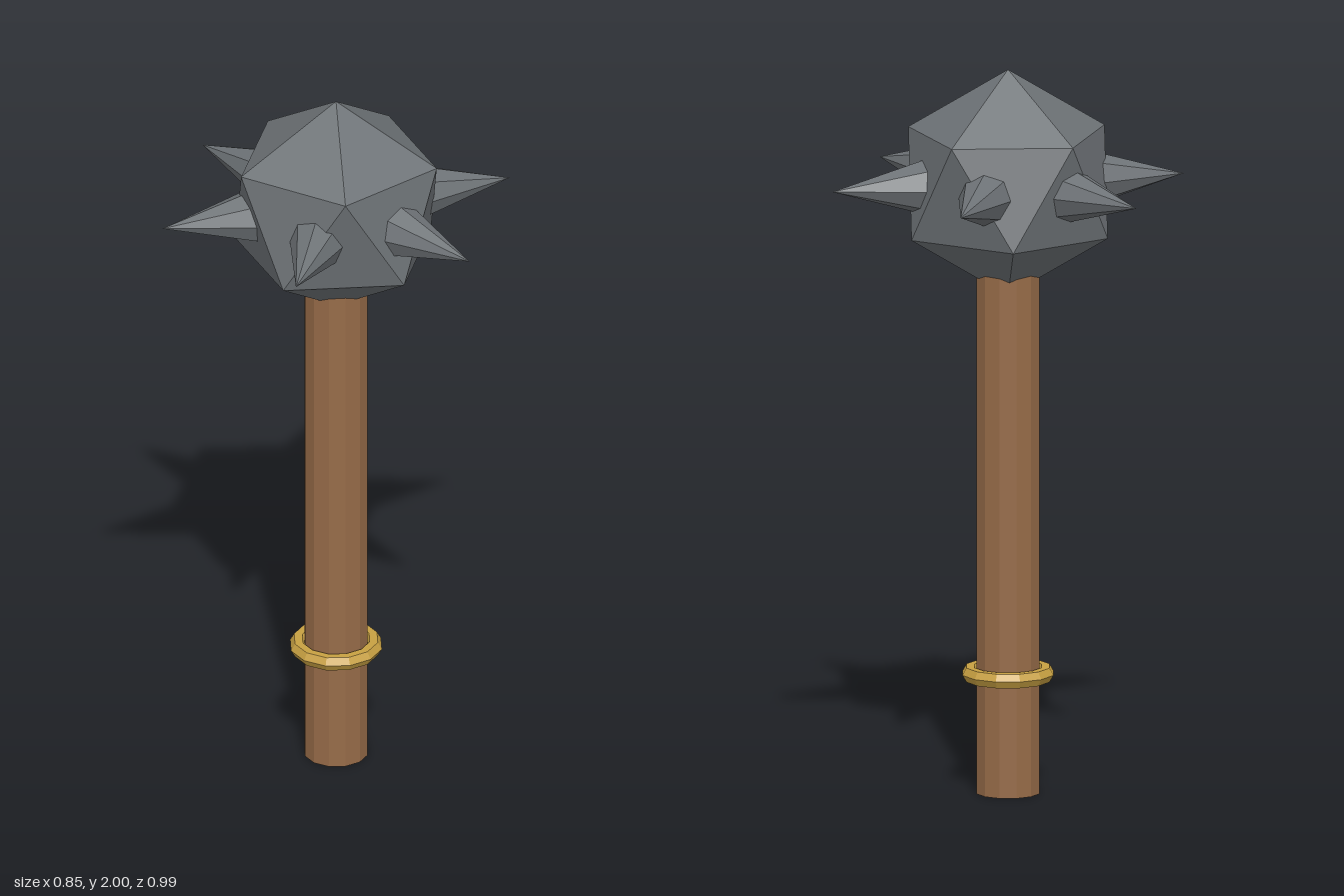
import * as THREE from 'three';

const HEAD_Y = 1.687;      // centre of the head
const HEAD_RADIUS = 0.313;
const SPIKE_TIP = 0.493;   // distance of spike tips from the axis
const SPIKE_BASE = 0.18;   // spike bases sit inside the head

const makeMaterial = (name, color) => {
  const material = new THREE.MeshStandardMaterial({ color, flatShading: true });
  material.name = name;
  return material;
};

export function createModel() {
  const model = new THREE.Group();
  model.name = 'spikedMace';

  const iron = makeMaterial('iron', 0x6d7276);
  const wood = makeMaterial('wood', 0x966b48);
  const brass = makeMaterial('brass', 0xc7a042);

  const add = (name, geometry, material, parent = model) => {
    const mesh = new THREE.Mesh(geometry, material);
    mesh.name = name;
    parent.add(mesh);
    return mesh;
  };

  // Handle, running up into the head
  const handle = new THREE.CylinderGeometry(0.088, 0.088, 1.55, 12);
  add('handle', handle.translate(0, 0.775, 0), wood);

  // Ring around the grip
  const ring = new THREE.TorusGeometry(0.105, 0.0225, 6, 12);
  add('gripRing', ring.rotateX(Math.PI / 2).translate(0, 0.33, 0), brass);

  // Head: icosahedron turned so one corner points straight up
  const golden = (1 + Math.sqrt(5)) / 2;
  const head = new THREE.IcosahedronGeometry(HEAD_RADIUS, 0);
  head.rotateZ(-Math.atan(1 / golden));
  add('head', head.translate(0, HEAD_Y, 0), iron);

  // Six spikes around the middle of the head
  const spikes = new THREE.Group();
  spikes.name = 'spikes';
  spikes.position.y = HEAD_Y;
  model.add(spikes);
  const length = SPIKE_TIP - SPIKE_BASE;
  const spike = new THREE.ConeGeometry(length * 0.292, length, 8);
  spike.rotateX(Math.PI / 2).translate(0, 0, SPIKE_BASE + length / 2);
  for (let i = 0; i < 6; i++) {
    add(`spike${i + 1}`, spike, iron, spikes).rotation.y = (i * Math.PI) / 3;
  }

  return model;
}
